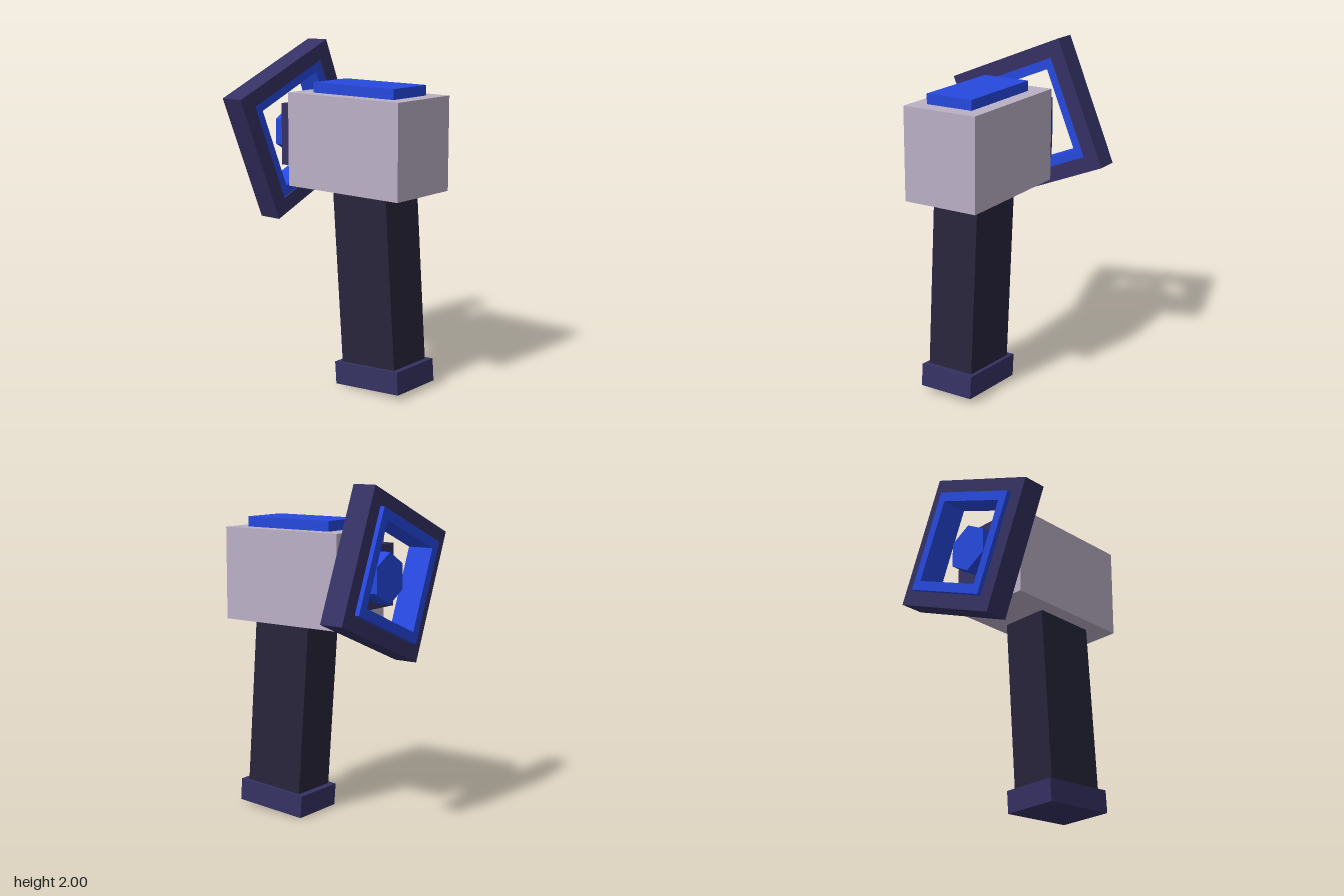
import * as THREE from 'three';

const paint = (color) => new THREE.MeshStandardMaterial({ color, flatShading: true });

export function createModel() {
  const model = new THREE.Group();
  const shell = paint(0xbab0c6);
  const indigo = paint(0x353163);
  const gripDark = paint(0x28253c);
  const blue = paint(0x2648de);

  const add = (parent, name, geometry, material, x, y, z) => {
    const mesh = new THREE.Mesh(geometry, material);
    mesh.name = name;
    mesh.position.set(x, y, z);
    parent.add(mesh);
    return mesh;
  };
  const box = (w, h, d) => new THREE.BoxGeometry(w, h, d);

  // Square outline, used for the rings
  const square = (Type, side) => {
    const h = side / 2;
    return new Type([[-h, -h], [h, -h], [h, h], [-h, h]].map(([x, y]) => new THREE.Vector2(x, y)));
  };
  const squareRing = (outer, inner, depth) => {
    const shape = square(THREE.Shape, outer);
    shape.holes.push(square(THREE.Path, inner));
    return new THREE.ExtrudeGeometry(shape, { depth, bevelEnabled: false });
  };

  // Head with its top panel and rear mount
  add(model, 'head', box(0.47, 0.55, 0.81), shell, 0, 1.45, 0.135);
  add(model, 'topPanel', box(0.296, 0.08, 0.59), blue, 0, 1.745, 0.145);
  add(model, 'rearMount', box(0.37, 0.365, 0.12), indigo, 0, 1.4675, -0.31);

  // Six-sided stud on the rear mount
  const stud = new THREE.CylinderGeometry(0.15, 0.15, 0.12, 6).rotateX(-Math.PI / 2);
  add(model, 'hexStud', stud, blue, 0, 1.4675, -0.41);

  // Tilted square frame with a blue lining that stands out at the back
  const frame = new THREE.Group();
  frame.name = 'frame';
  frame.position.set(0, 1.48, 0);
  frame.rotation.z = Math.PI / 8;
  add(frame, 'outerFrame', squareRing(0.8, 0.618, 0.145), indigo, 0, 0, -0.515);
  add(frame, 'frameLining', squareRing(0.62, 0.505, 0.16), blue, 0, 0, -0.543);
  model.add(frame);

  // Slanted grip and its end cap
  const grip = new THREE.Group();
  grip.name = 'grip';
  grip.position.set(0, 0.0875, 0.268);
  grip.rotation.x = -0.07;
  add(grip, 'endCap', box(0.342, 0.135, 0.466), indigo, 0, 0, 0);
  add(grip, 'handle', box(0.294, 1.14, 0.388), gripDark, 0, 0.57, 0);
  model.add(grip);

  return model;
}
